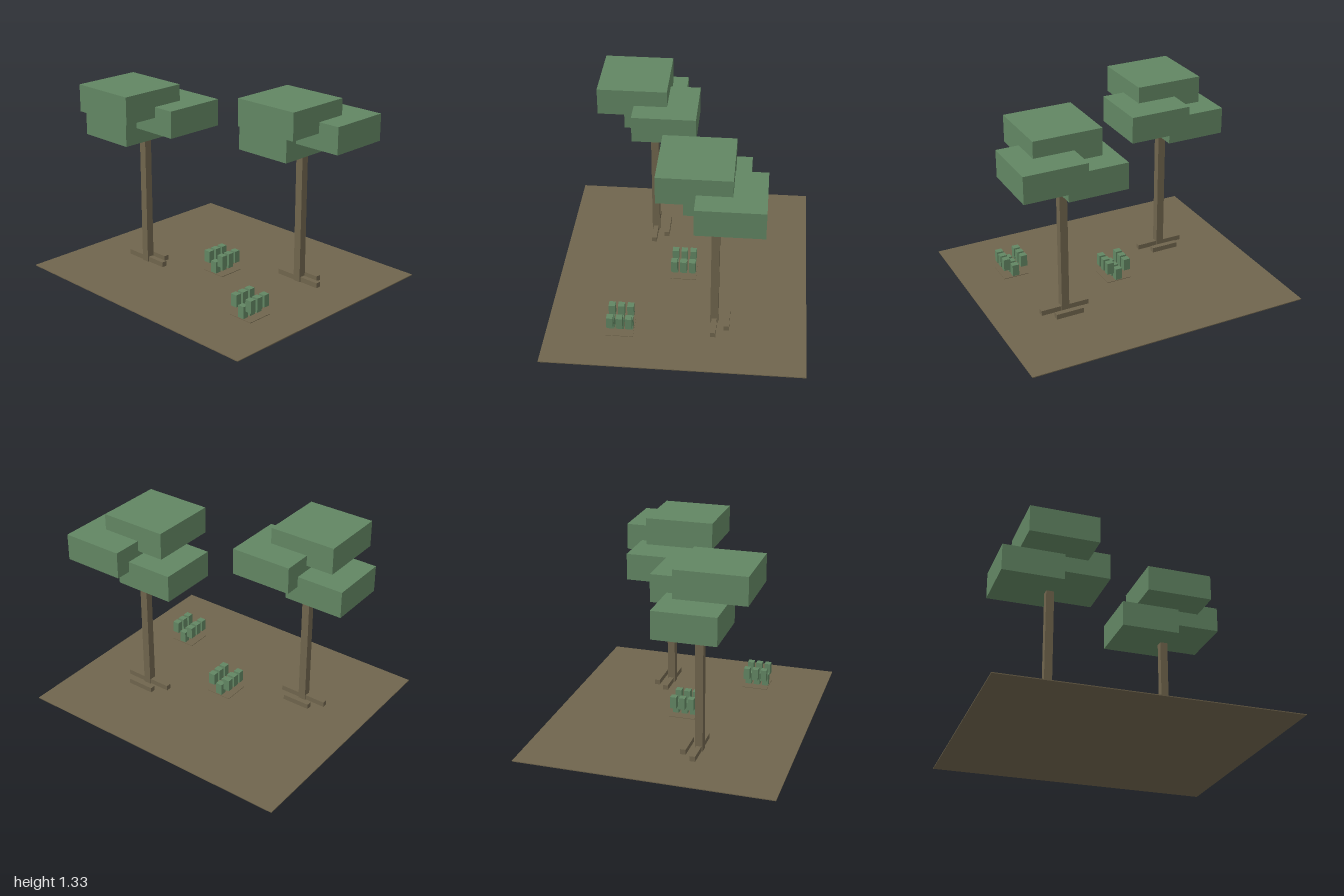
import * as THREE from 'three';

const leafGreen = new THREE.MeshStandardMaterial({ color: 0x628663 });
leafGreen.name = 'leafGreen';
const earthBrown = new THREE.MeshStandardMaterial({ color: 0x70654d });
earthBrown.name = 'earthBrown';

// Box given by its lower and upper corners
function box(name, material, [x0, y0, z0], [x1, y1, z1]) {
  const mesh = new THREE.Mesh(new THREE.BoxGeometry(x1 - x0, y1 - y0, z1 - z0), material);
  mesh.position.set((x0 + x1) / 2, (y0 + y1) / 2, (z0 + z1) / 2);
  mesh.name = name;
  return mesh;
}

function createTree(x, z) {
  const tree = new THREE.Group();
  tree.name = 'tree';
  tree.position.set(x, 0, z);
  tree.add(
    box('trunk', earthBrown, [-0.027, 0.003, -0.027], [0.027, 1.0, 0.027]),
    // Roots lying on the ground
    box('longRoot', earthBrown, [-0.175, 0.003, -0.018], [0.172, 0.042, 0.018]),
    box('shortRoot', earthBrown, [-0.1, 0.003, -0.105], [0.1, 0.042, -0.068]),
    // Three overlapping slabs of foliage
    box('lowerFoliage', leafGreen, [-0.377, 0.915, -0.21], [0.045, 1.102, 0.211]),
    box('middleFoliage', leafGreen, [-0.045, 1.028, -0.32], [0.391, 1.214, 0.116]),
    box('upperFoliage', leafGreen, [-0.241, 1.14, -0.111], [0.235, 1.328, 0.365])
  );
  return tree;
}

function createBush(x, z) {
  const bush = new THREE.Group();
  bush.name = 'bush';
  bush.position.set(x, 0, z);
  bush.add(box('bushBase', earthBrown, [-0.091, 0.003, -0.091], [0.091, 0.01, 0.091]));
  // Three rows of leaves, outer ones raised
  for (let row = -1; row <= 1; row++) {
    for (let col = -1; col <= 1; col++) {
      const cx = col * 0.064, cz = row * 0.063, y = col === 0 ? 0.009 : 0.07;
      bush.add(box('leaf', leafGreen, [cx - 0.024, y, cz - 0.022], [cx + 0.024, y + 0.085, cz + 0.022]));
    }
  }
  return bush;
}

export function createModel() {
  const model = new THREE.Group();
  model.name = 'treesAndBushes';
  model.add(
    box('ground', earthBrown, [-1, 0, -0.875], [1, 0.006, 0.875]),
    createTree(-0.5, 0.25),
    createTree(0.5, -0.25),
    createBush(0, 0),
    createBush(0.625, 0.375)
  );
  return model;
}
